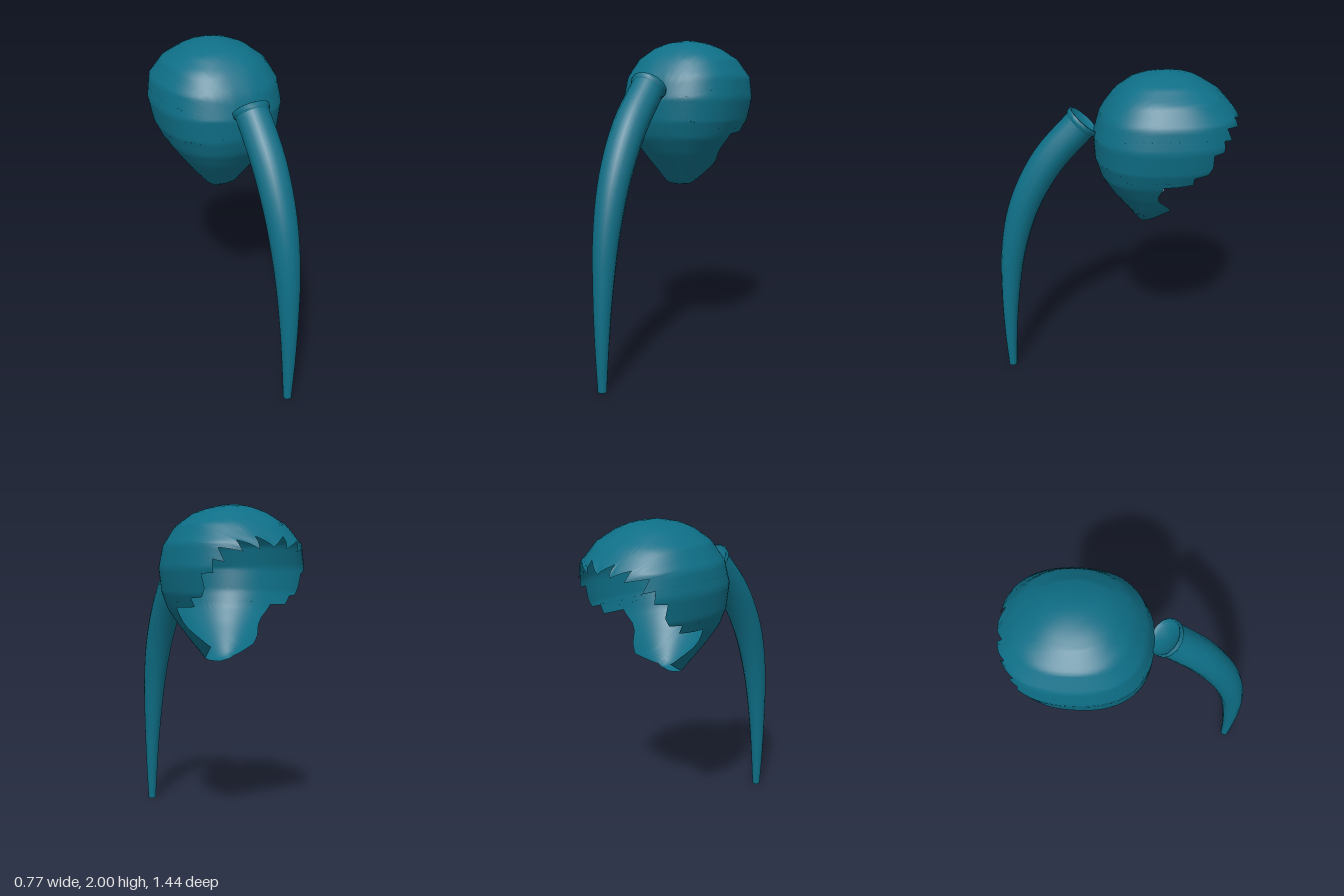
import * as THREE from 'three';
import { mergeVertices } from 'three/addons/utils/BufferGeometryUtils.js';

// Smooth surface through equally long rows of points
function skin(rows) {
  const n = rows[0].length, index = [];
  for (let i = 0; i < rows.length - 1; i++) {
    for (let j = 0; j < n - 1; j++) {
      const a = i * n + j, b = a + n;
      index.push(a, a + 1, b, a + 1, b + 1, b);
    }
  }
  let geo = new THREE.BufferGeometry().setFromPoints(rows.flat());
  geo.setIndex(index);
  geo = mergeVertices(geo, 1e-5);
  geo.computeVertexNormals();
  return geo;
}

// Head shape by height: y, front z, back z, half width
const PROFILE = [
  [1.085, -0.19, -0.2, 0.01], [1.1, -0.15, -0.26, 0.09], [1.2, -0.07, -0.42, 0.175],
  [1.3, 0.01, -0.52, 0.25], [1.4, 0.075, -0.62, 0.32], [1.5, 0.108, -0.7, 0.362],
  [1.64, 0.117, -0.735, 0.386], [1.77, 0.08, -0.72, 0.368], [1.88, 0.0, -0.62, 0.3],
  [1.95, -0.09, -0.51, 0.2], [1.98, -0.16, -0.45, 0.12], [2.0, -0.27, -0.36, 0.03],
];
const CENTRE = new THREE.Vector3(0, 1.6, -0.3);

function inside(p) {
  const k = PROFILE.findIndex((row) => row[0] > p.y);
  if (k < 1) return false;
  const a = PROFILE[k - 1], b = PROFILE[k];
  const t = (p.y - a[0]) / (b[0] - a[0]);
  const [front, back, width] = [1, 2, 3].map((i) => a[i] + (b[i] - a[i]) * t);
  const u = Math.abs(p.x) / width;
  const v = Math.abs(p.z - (front + back) / 2) / ((front - back) / 2);
  return u ** 2.35 + v ** 2.35 < 1;
}

// Point where a ray from the centre meets the head shape
function project(dir) {
  let lo = 0, hi = 1;
  for (let i = 0; i < 22; i++) {
    const mid = (lo + hi) / 2;
    if (inside(CENTRE.clone().addScaledVector(dir, mid))) lo = mid;
    else hi = mid;
  }
  return CENTRE.clone().addScaledVector(dir, lo);
}

// Hair cap: fans out from the ponytail side to a jagged rim around the face
function capGeometry() {
  const half = [
    [0, 1.75, -0.73], [0.09, 1.8, -0.67], [0.085, 1.735, -0.71], [0.19, 1.775, -0.64],
    [0.17, 1.72, -0.68], [0.27, 1.74, -0.6], [0.255, 1.67, -0.64], [0.31, 1.69, -0.6],
    [0.3, 1.615, -0.6], [0.34, 1.61, -0.54], [0.33, 1.53, -0.55], [0.33, 1.48, -0.52],
    [0.355, 1.48, -0.44], [0.33, 1.42, -0.44], [0.33, 1.42, -0.34], [0.34, 1.455, -0.3],
    [0.33, 1.44, -0.27], [0.28, 1.34, -0.24], [0.25, 1.3, -0.25], [0.2, 1.24, -0.31],
    [0.15, 1.19, -0.34], [0.1, 1.11, -0.2], [0, 1.095, -0.2],
  ].map((p) => new THREE.Vector3(...p));
  const mirrored = half.slice(0, -1).reverse().map((p) => new THREE.Vector3(-p.x, p.y, p.z));
  const loop = [...half, ...mirrored];

  const rim = [];
  for (let i = 0; i < loop.length - 1; i++) {
    for (let s = 0; s < 4; s++) rim.push(loop[i].clone().lerp(loop[i + 1], s / 4));
  }
  rim.push(loop[0].clone());

  const steps = 24, rows = [];
  for (let i = 0; i <= steps; i++) {
    rows.push(rim.map((p) => {
      const d = p.clone().sub(CENTRE).normalize();
      const theta = Math.acos(d.z) * i / steps, phi = Math.atan2(d.x, d.y);
      return project(new THREE.Vector3(
        Math.sin(theta) * Math.sin(phi), Math.sin(theta) * Math.cos(phi), Math.cos(theta)));
    }));
  }
  return skin(rows);
}

// Ponytail: tapering tube hanging from the cap; stations are y, z, radius
const STATIONS = [
  [1.715, 0.175, 0.1], [1.48, 0.385, 0.1], [1.205, 0.535, 0.092],
  [0.9, 0.622, 0.077], [0.545, 0.665, 0.056], [0.25, 0.68, 0.04], [0, 0.683, 0.026],
];
const path = new THREE.CatmullRomCurve3(STATIONS.map(([y, z]) => new THREE.Vector3(0, y, z)));
const radii = new THREE.CatmullRomCurve3(STATIONS.map(([, , r], i) => new THREE.Vector3(i, r, 0)));

function ring(t, radius, shift = 0, sides = 14) {
  const tangent = path.getTangent(t);
  const centre = path.getPoint(t).addScaledVector(tangent, shift);
  const side = new THREE.Vector3(1, 0, 0);
  const normal = side.clone().cross(tangent);
  return Array.from({ length: sides + 1 }, (_, j) => {
    const a = (j % sides) / sides * Math.PI * 2;
    return centre.clone()
      .addScaledVector(normal, Math.cos(a) * radius)
      .addScaledVector(side, Math.sin(a) * radius);
  });
}

export function createModel() {
  const hair = new THREE.MeshStandardMaterial({ color: 0x0e6f87, side: THREE.DoubleSide });
  hair.name = 'teal hair';
  const group = new THREE.Group();
  group.name = 'ponytailHair';
  const add = (name, geo) => {
    const mesh = new THREE.Mesh(geo, hair);
    mesh.name = name;
    group.add(mesh);
  };

  add('hairCap', capGeometry());

  const rows = [];
  for (let i = 0; i <= 30; i++) rows.push(ring(i / 30, radii.getPoint(i / 30).y));
  add('ponytail', skin(rows));
  add('ponytailTip', skin([ring(1, 0.026), ring(1, 0)]));

  // Flared lip and shallow dish where the ponytail meets the cap
  add('ponytailLip', skin([
    ring(0, 0, 0.02), ring(0, 0.085, 0.015), ring(0, 0.1, -0.012),
    ring(0, 0.11, -0.008), ring(0, 0.11, 0.012), ring(0, 0.098, 0.03),
  ]));
  return group;
}
